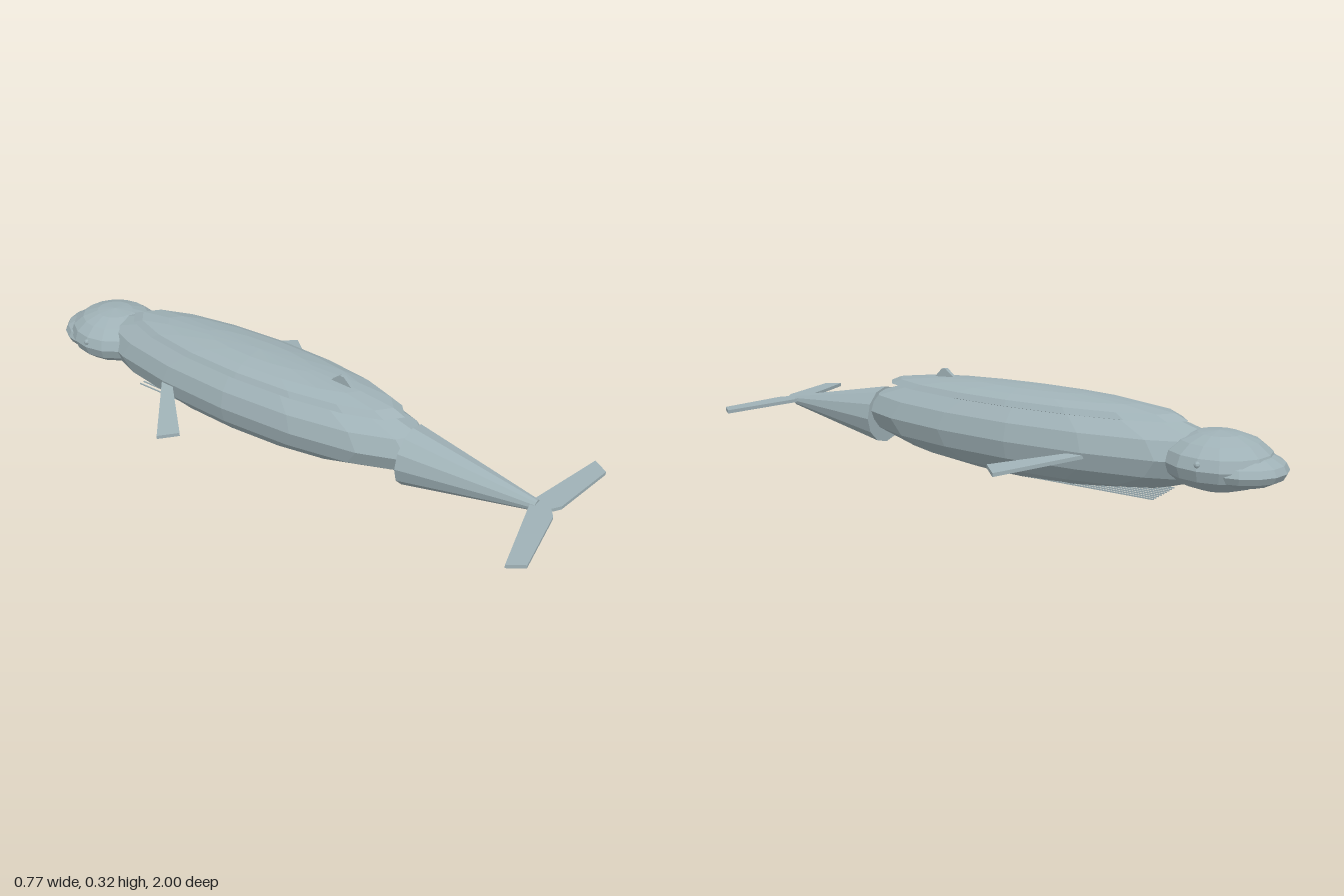
import * as THREE from 'three';

export function createModel() {
  const whale = new THREE.Group();
  whale.name = 'whale';
  const skin = new THREE.MeshStandardMaterial({ color: 0x9fb1b6, flatShading: true });
  skin.name = 'blueGreySkin';

  const add = (name, geometry, x = 0, y = 0, z = 0) => {
    const mesh = new THREE.Mesh(geometry, skin);
    mesh.name = name;
    mesh.position.set(x, y, z);
    whale.add(mesh);
    return mesh;
  };
  const ellipsoid = (rx, ry, rz, around = 16, rings = 8) =>
    new THREE.SphereGeometry(1, around, rings).scale(rx, ry, rz);

  // Flat plate outlined by [x, z] points, lying centred on y = 0
  const plate = (points, thickness) => {
    const shape = new THREE.Shape(points.map(([x, z]) => new THREE.Vector2(x, -z)));
    return new THREE.ExtrudeGeometry(shape, { depth: thickness, bevelEnabled: false })
      .rotateX(-Math.PI / 2).translate(0, -thickness / 2, 0);
  };

  // Body
  add('body', ellipsoid(0.18, 0.15, 0.7), 0, 0.15, -0.15);

  // Raised back with a shallow underside
  const back = ellipsoid(0.137, 0.048, 0.565);
  const bp = back.attributes.position;
  for (let i = 0; i < bp.count; i++) if (bp.getY(i) < 0) bp.setY(i, bp.getY(i) * 0.2);
  add('back', back, 0, 0.252, -0.125);

  // Head and snout
  add('head', ellipsoid(0.16, 0.09, 0.17), 0, 0.15, -0.79);
  add('snout', ellipsoid(0.14, 0.055, 0.15), 0, 0.138, -0.85);

  // Tapering tail
  add('tail', new THREE.CylinderGeometry(0.018, 0.1, 0.43, 12).rotateX(Math.PI / 2), 0, 0.125, 0.685);

  // Tail flukes, one outline mirrored across the middle
  const half = [[0.3, 0.95], [0.265, 1.0], [0.03, 0.965]];
  const mirrored = half.map(([x, z]) => [-x, z]).reverse();
  add('flukes', plate([[0, 0.88], ...half, [0, 0.945], ...mirrored], 0.012), 0, 0.127, 0);

  // Dorsal fin
  const finShape = new THREE.Shape([[-0.27, 0.26], [-0.14, 0.27], [-0.2, 0.317], [-0.215, 0.317]]
    .map(([x, y]) => new THREE.Vector2(x, y)));
  add('dorsalFin', new THREE.ExtrudeGeometry(finShape, { depth: 0.014, bevelEnabled: false })
    .translate(0, 0, -0.007).rotateY(Math.PI / 2));

  for (const side of [1, -1]) {
    const label = side > 0 ? 'left' : 'right';
    // Flippers, drooping towards the tip
    const outline = [[0.13, -0.45], [0.385, -0.25], [0.335, -0.195], [0.13, -0.41]];
    const flipper = plate(outline.map(([x, z]) => [side * x, z]), 0.012);
    const p = flipper.attributes.position;
    for (let i = 0; i < p.count; i++) {
      p.setY(i, p.getY(i) + 0.137 - 0.14 * (Math.abs(p.getX(i)) - 0.165));
    }
    add(label + 'Flipper', flipper);
    // Eyes
    add(label + 'Eye', ellipsoid(0.01, 0.01, 0.01, 8, 6), side * 0.152, 0.168, -0.79);
  }

  // Throat grooves
  for (let i = -4; i <= 4; i++) {
    add('throatGroove', new THREE.BoxGeometry(0.004, 0.004, 0.48), i * 0.018, 0.016, -0.38);
  }
  return whale;
}
